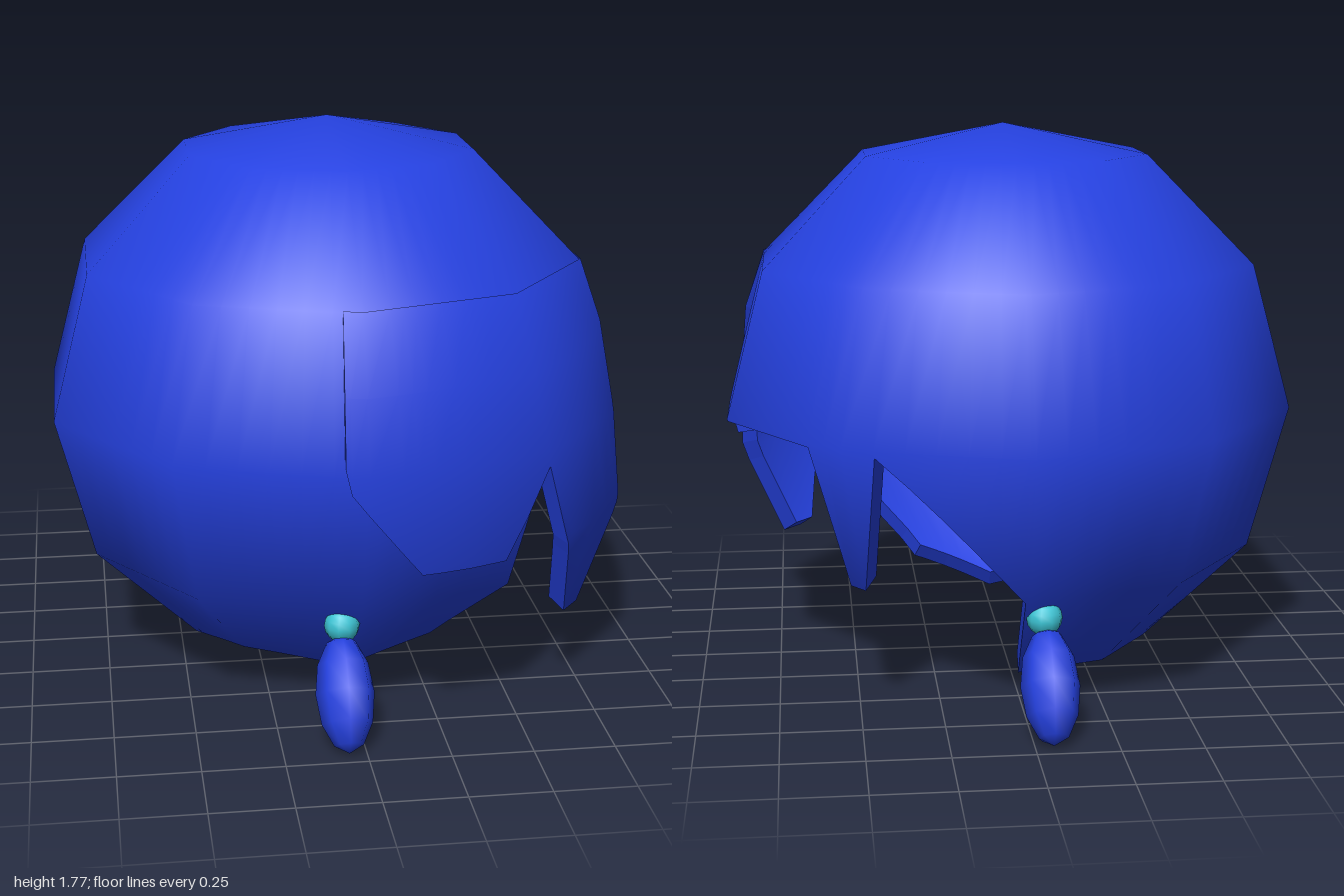
import * as THREE from 'three';
import { mergeGeometries } from 'three/addons/utils/BufferGeometryUtils.js';

const CENTRE_Y = 0.87;
const rad = THREE.MathUtils.degToRad;

// Linear lookup in a list of [key, value] pairs with rising keys
function lookup(list, k) {
  if (k <= list[0][0]) return list[0][1];
  for (let i = 1; i < list.length; i++) {
    const [k0, v0] = list[i - 1], [k1, v1] = list[i];
    if (k <= k1) return v0 + (v1 - v0) * (k - k0) / (k1 - k0);
  }
  return list[list.length - 1][1];
}

// Thick shell around the y axis. rings: [y, radius] from top to bottom,
// hem: [angle from +x towards +z, lowest y].
function hairShell(rings, hem, inner, flare) {
  const byHeight = [...rings].reverse();
  const first = hem[0][0], last = hem[hem.length - 1][0];
  const angles = hem.map(h => h[0]);
  for (let a = Math.ceil(first / 6) * 6; a < last; a += 6) if (!angles.includes(a)) angles.push(a);
  angles.sort((a, b) => a - b);
  const rows = rings.length;

  // Ten-sided outline, fading to round where the locks flare out
  const point = (angle, y, scale) => {
    const d = rad(angle - 36 * Math.round(angle / 36));
    const facet = Math.cos(rad(18)) / Math.cos(d);
    const blend = flare ? THREE.MathUtils.clamp((y - 0.6) / 0.7, 0, 1) : 1;
    const r = lookup(byHeight, y) * (1 - (1 - facet) * blend) * scale;
    return new THREE.Vector3(r * Math.cos(rad(angle)), CENTRE_Y + (y - CENTRE_Y) * scale, r * Math.sin(rad(angle)));
  };
  const heightAt = (a, j) => Math.max(rings[j][0], lookup(hem, a));

  const surface = (scale, sign) => {
    const pos = [], nor = [], idx = [];
    angles.forEach((a, i) => {
      for (let j = 0; j < rows; j++) {
        const p = point(a, heightAt(a, j), scale);
        const n = new THREE.Vector3(p.x, (p.y - CENTRE_Y) * 1.08, p.z).normalize().multiplyScalar(sign);
        pos.push(...p); nor.push(...n);
        if (i + 1 < angles.length && j + 1 < rows) {
          const k = i * rows + j, b = k + rows, c = k + 1, d = b + 1;
          if (sign > 0) idx.push(k, b, d, k, d, c);
          else idx.push(k, d, b, k, c, d);
        }
      }
    });
    const g = new THREE.BufferGeometry();
    g.setAttribute('position', new THREE.Float32BufferAttribute(pos, 3));
    g.setAttribute('normal', new THREE.Float32BufferAttribute(nor, 3));
    g.setIndex(idx);
    return g.toNonIndexed();
  };

  // Flat rim along the hem, plus walls at the ends of an open shell
  const rim = [];
  const strip = (a0, y0, a1, y1) => {
    const o0 = point(a0, y0, 1), o1 = point(a1, y1, 1);
    const i0 = point(a0, y0, inner), i1 = point(a1, y1, inner);
    for (const p of [o0, o1, i1, o0, i1, i0]) rim.push(...p);
  };
  for (let i = 0; i + 1 < angles.length; i++) {
    strip(angles[i], lookup(hem, angles[i]), angles[i + 1], lookup(hem, angles[i + 1]));
  }
  if (last - first < 360) {
    for (let j = 0; j + 1 < rows; j++) {
      strip(last, heightAt(last, j + 1), last, heightAt(last, j));
      strip(first, heightAt(first, j), first, heightAt(first, j + 1));
    }
  }
  const rimGeo = new THREE.BufferGeometry();
  rimGeo.setAttribute('position', new THREE.Float32BufferAttribute(rim, 3));
  rimGeo.computeVertexNormals();
  return mergeGeometries([surface(1, 1), surface(inner, -1), rimGeo]);
}

export function createModel() {
  const blue = new THREE.MeshStandardMaterial({ color: 0x2541e0, side: THREE.DoubleSide });
  blue.name = 'blue hair';
  const teal = new THREE.MeshStandardMaterial({ color: 0x3cc4d4 });
  teal.name = 'teal band';

  const model = new THREE.Group();
  model.name = 'hairpiece';
  const add = (name, geometry, material, parent = model) => {
    const mesh = new THREE.Mesh(geometry, material);
    mesh.name = name;
    parent.add(mesh);
    return mesh;
  };

  // Main cap with the face opening towards +x
  const capRings = [[1.77, 0], [1.675, 0.473], [1.33, 0.82], [0.87, 0.945], [0.405, 0.82], [0.07, 0.48]];
  const capHem = [
    [-90, 0.07], [-89, 0.4], [-60, 0.85], [-54, 0.41], [-49, 0.41], [-44, 0.85],
    [-3, 0.87], [-2.5, 0.77], [0, 0.77], [5, 0.89], [10, 1.07], [13, 1.34],
    [20, 1.2], [30, 1.0], [50, 0.85], [54, 0.4], [62, 0.18], [90, 0.07],
    [126, 0.14], [162, 0.07], [270, 0.07],
  ];
  add('hairCap', hairShell(capRings, capHem, 0.93, false), blue);

  // Swept fringe: a flap and a long pointed lock over the +z side
  const fringeRings = [[1.335, 0.822], [1.1, 0.905], [0.88, 0.97], [0.6, 1.0], [0.28, 0.91]];
  const fringeHem = [
    [13, 1.33], [25, 0.87], [28.5, 0.62], [36, 0.28], [42, 0.28], [49, 0.56], [54, 0.83],
    [65, 0.58], [81, 0.58], [93, 0.83], [94, 0.9],
  ];
  add('fringe', hairShell(fringeRings, fringeHem, 0.94, true), blue);

  // Tied tails on both sides
  for (const side of [1, -1]) {
    const tail = new THREE.Group();
    tail.name = side > 0 ? 'frontTail' : 'backTail';
    model.add(tail);
    const band = add('tailBand', new THREE.SphereGeometry(0.055, 10, 8), teal, tail);
    band.position.set(-0.05, 0.335, side * 0.75);
    const tuft = add('tailTuft', new THREE.SphereGeometry(1, 8, 6), blue, tail);
    tuft.scale.set(0.09, 0.18, 0.105);
    tuft.rotation.x = -side * rad(35);
    tuft.position.set(-0.055, 0.158, side * 0.86);
  }
  return model;
}
